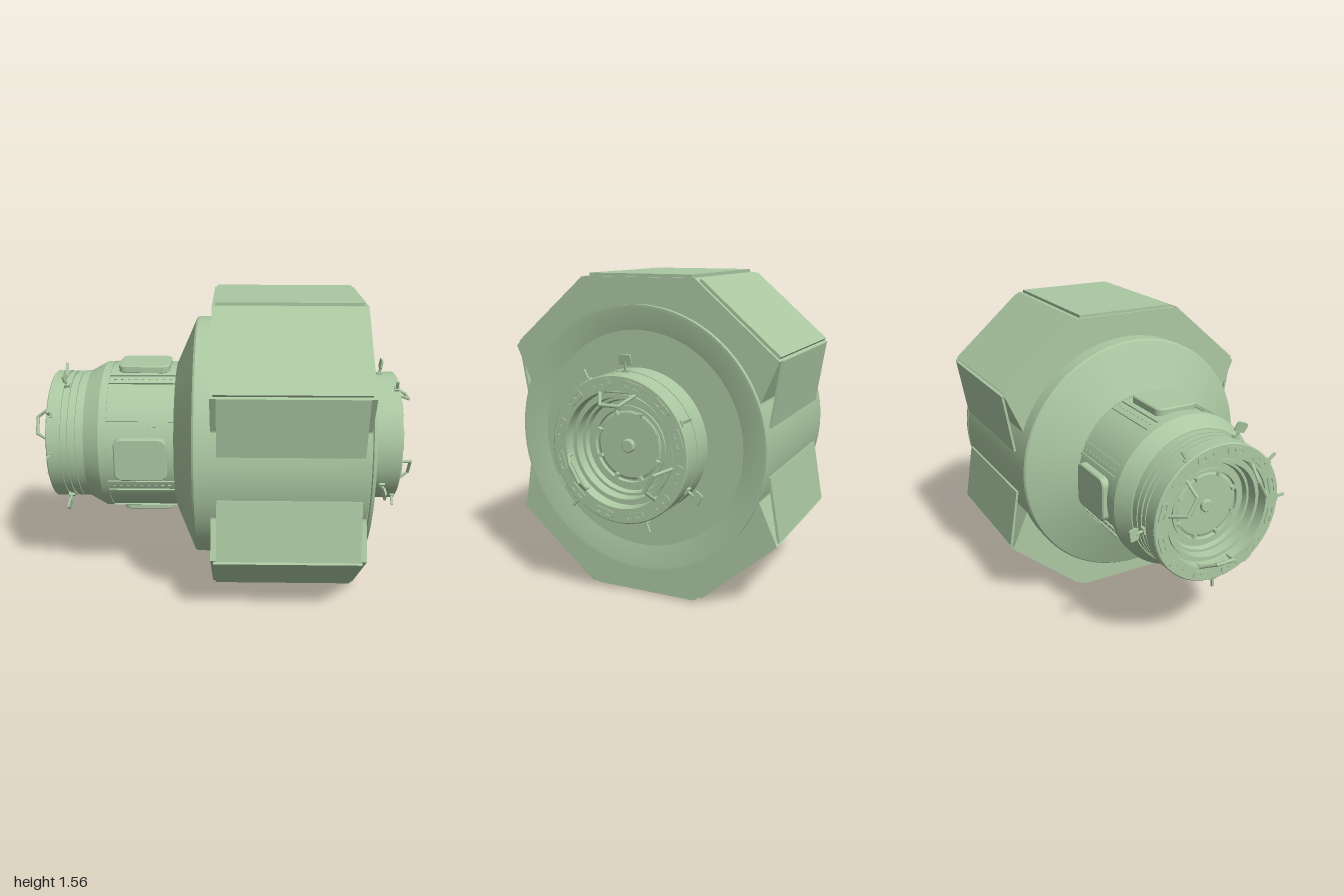
import * as THREE from 'three';
import { toCreasedNormals } from 'three/addons/utils/BufferGeometryUtils.js';

const AXIS_Y = 0.781;
const mat = new THREE.MeshStandardMaterial({ color: 0xabc8a2 });
const rad = THREE.MathUtils.degToRad;

function add(parent, name, geo, x = 0, y = 0, z = 0) {
  const mesh = new THREE.Mesh(geo, mat);
  mesh.name = name;
  mesh.position.set(x, y, z);
  parent.add(mesh);
  return mesh;
}

// Surface of revolution about the x axis from [x, radius] pairs
function turned(profile, segments = 72) {
  const geo = new THREE.LatheGeometry(profile.map(([x, r]) => new THREE.Vector2(r, x)), segments);
  geo.rotateZ(-Math.PI / 2);
  return toCreasedNormals(geo, 0.4);
}

// Group whose local +y points radially; 0 degrees is up, positive turns toward +z
function spoke(parent, name, degrees) {
  const g = new THREE.Group();
  g.name = name;
  g.rotation.x = rad(degrees);
  parent.add(g);
  return g;
}

function roundedRect(Path, w, h, r, cx = 0) {
  const p = new Path(), a = w / 2 - r, b = h / 2 - r;
  p.absarc(cx + a, b, r, 0, Math.PI / 2);
  p.absarc(cx - a, b, r, Math.PI / 2, Math.PI);
  p.absarc(cx - a, -b, r, Math.PI, Math.PI * 1.5);
  p.absarc(cx + a, -b, r, Math.PI * 1.5, Math.PI * 2);
  p.closePath();
  return p;
}

function rod(parent, name, a, b, r) {
  const from = new THREE.Vector3(...a), dir = new THREE.Vector3(...b).sub(from);
  const m = add(parent, name, new THREE.CylinderGeometry(r, r, dir.length(), 8));
  m.position.copy(from).addScaledVector(dir, 0.5);
  m.quaternion.setFromUnitVectors(new THREE.Vector3(0, 1, 0), dir.clone().normalize());
}

// Thin plate between two [z, y] points, spanning x0..x1
function plate(parent, name, [z1, y1], [z2, y2], x0, x1, t) {
  const len = Math.hypot(z2 - z1, y2 - y1);
  const m = add(parent, name, new THREE.BoxGeometry(x1 - x0, t, len), (x0 + x1) / 2, (y1 + y2) / 2, (z1 + z2) / 2);
  m.rotation.x = -Math.atan2(y2 - y1, z2 - z1);
}

// Docking port facing +x
function dockingPort() {
  const port = new THREE.Group();
  port.name = 'dockingPort';
  add(port, 'dockingTunnel', turned([
    [0.915, 0.347], [0.92, 0.342], [0.92, 0.275], [0.87, 0.27], [0.87, 0.255], [0.885, 0.255], [0.885, 0.24],
    [0.84, 0.235], [0.84, 0.222], [0.815, 0.215], [0.815, 0.19], [0.825, 0.19], [0.825, 0.175],
    [0.81, 0.172], [0.81, 0.165], [0.815, 0.155], [0.815, 0],
  ]));
  add(port, 'hatchKnob', turned([[0.81, 0.032], [0.83, 0.032], [0.835, 0.027], [0.835, 0]], 24));

  // Latch plates with paired slots around the rim
  const latch = roundedRect(THREE.Shape, 0.095, 0.036, 0.012);
  latch.holes.push(roundedRect(THREE.Path, 0.03, 0.016, 0.007, -0.022), roundedRect(THREE.Path, 0.03, 0.016, 0.007, 0.022));
  const latchGeo = new THREE.ExtrudeGeometry(latch, { depth: 0.006, bevelEnabled: false, curveSegments: 4 });
  latchGeo.rotateY(Math.PI / 2);
  for (let i = 0; i < 12; i++) add(spoke(port, 'rimLatch', 15 + i * 30), 'latchPlate', latchGeo, 0.919, 0.311, 0);

  // Hatch clamps
  for (let i = 0; i < 8; i++)
    add(spoke(port, 'hatchClamp', 22 + i * 45), 'clamp', new THREE.BoxGeometry(0.02, 0.022, 0.016), 0.822, 0.162, 0);

  // Guide petals: trapezoid frames leaning toward the axis
  for (let i = 0; i < 3; i++) {
    const petal = spoke(port, 'guidePetal', i * 120);
    for (const s of [-1, 1]) {
      rod(petal, 'petalLeg', [0.89, 0.275, s * 0.105], [0.99, 0.222, s * 0.045], 0.008);
      rod(petal, 'petalBrace', [0.88, 0.262, s * 0.09], [0.92, 0.255, s * 0.085], 0.007);
    }
    rod(petal, 'petalTip', [0.99, 0.222, -0.05], [0.99, 0.222, 0.05], 0.009);
    rod(petal, 'petalBase', [0.905, 0.268, -0.1], [0.905, 0.268, 0.1], 0.007);
  }
  return port;
}

// Sighting targets and small pins on the collar
function collarFittings(parent, side, targets, pins) {
  for (const a of targets) {
    const g = spoke(parent, 'dockingTarget', a);
    rod(g, 'targetStem', [side * 0.83, 0.33, 0], [side * 0.838, 0.395, 0], 0.007);
    const shape = roundedRect(THREE.Shape, 0.06, 0.05, 0.01);
    const geo = new THREE.ExtrudeGeometry(shape, { depth: 0.01, bevelEnabled: false, curveSegments: 4 });
    geo.rotateY(Math.PI / 2);
    add(g, 'targetPlate', geo, side * 0.838 - 0.005, 0.405, 0).rotation.z = -side * 0.15;
    add(g, 'targetFoot', new THREE.BoxGeometry(0.03, 0.02, 0.03), side * 0.83, 0.348, 0);
  }
  for (const a of pins) {
    const g = spoke(parent, 'collarPin', a);
    add(g, 'pin', new THREE.BoxGeometry(0.012, 0.07, 0.012), side * 0.9, 0.365, 0);
    add(g, 'pinFoot', new THREE.BoxGeometry(0.025, 0.014, 0.03), side * 0.9, 0.348, 0);
  }
}

export function createModel() {
  const model = new THREE.Group();
  model.name = 'stationModule';
  const body = new THREE.Group();
  body.name = 'body';
  body.position.y = AXIS_Y;
  model.add(body);

  // Pressure hull with a dished end around the right-hand collar
  add(body, 'hull', turned([
    [-0.915, 0.347], [-0.845, 0.347], [-0.845, 0.338], [-0.835, 0.338], [-0.835, 0.345],
    [-0.81, 0.345], [-0.81, 0.335], [-0.8, 0.335], [-0.8, 0.345], [-0.77, 0.345], [-0.77, 0.335],
    [-0.765, 0.335], [-0.765, 0.347], [-0.725, 0.347], [-0.725, 0.352], [-0.64, 0.398], [-0.6, 0.398],
    [-0.6, 0.392], [-0.255, 0.392], [-0.255, 0.4], [-0.15, 0.638], [-0.14, 0.645], [-0.06, 0.645],
    [0.71, 0.645], [0.715, 0.638], [0.72, 0.645], [0.735, 0.645], [0.735, 0.63], [0.705, 0.505],
    [0.69, 0.505], [0.69, 0.497], [0.7, 0.497], [0.67, 0.35], [0.82, 0.35], [0.82, 0.347], [0.915, 0.347],
  ], 96));

  // Docking ports, the left one turned end for end
  const rightPort = dockingPort();
  const leftPort = dockingPort();
  leftPort.rotation.z = Math.PI;
  body.add(rightPort, leftPort);
  collarFittings(body, 1, [0, 120, 240], [27, -64, -159, -221]);
  collarFittings(body, -1, [24, 144, 264], [90, 55, 180, -30]);

  // Raised hatch covers and rails on the narrow section
  const cover = new THREE.ExtrudeGeometry(roundedRect(THREE.Shape, 0.26, 0.215, 0.035),
    { depth: 0.03, bevelThickness: 0.006, bevelSize: 0.006, bevelSegments: 1, curveSegments: 6 });
  cover.rotateX(-Math.PI / 2);
  for (let i = 0; i < 4; i++) {
    add(spoke(body, 'hatchCover', i * 90), 'cover', cover, -0.425, 0.379, 0);
    for (const a of [-29, -20, 20, 29])
      add(spoke(body, 'hullRail', i * 90 + a), 'rail', new THREE.BoxGeometry(0.345, 0.02, 0.012), -0.428, 0.391, 0);
    for (const s of [-1, 1])
      for (let k = 0; k < 9; k++)
        add(spoke(body, 'railRivet', i * 90 + s * 24.5), 'rivet', new THREE.BoxGeometry(0.014, 0.008, 0.008), -0.57 + k * 0.036, 0.392, 0);
  }

  // Faceted equipment shroud around the wide section
  const outline = [[0.285, 0.766], [0.688, 0.418], [0.605, 0.23]];
  const pts = [
    ...outline, ...outline.map(([z, y]) => [z, -y]).reverse(),
    ...outline.map(([z, y]) => [-z, -y]), ...outline.map(([z, y]) => [-z, y]).reverse(),
  ].map((p) => new THREE.Vector2(...p));
  const shroud = new THREE.ExtrudeGeometry(new THREE.Shape(pts), { depth: 0.77, bevelEnabled: false });
  shroud.rotateY(Math.PI / 2);
  add(body, 'shroud', shroud, -0.06, 0, 0);

  // Outer cover plates and hanging side flaps
  for (const sy of [-1, 1]) {
    plate(body, 'flatPanel', [-0.265, sy * 0.772], [0.265, sy * 0.772], -0.045, 0.69, 0.018);
    for (const sz of [-1, 1]) {
      plate(body, 'slopedPanel', [sz * 0.303, sy * 0.757], [sz * 0.682, sy * 0.43], -0.045, 0.69, 0.018);
      plate(body, 'sideFlap', [sz * 0.69, sy * 0.42], [sz * 0.64, sy * 0.115], -0.03, 0.68, 0.012);
    }
  }
  return model;
}
